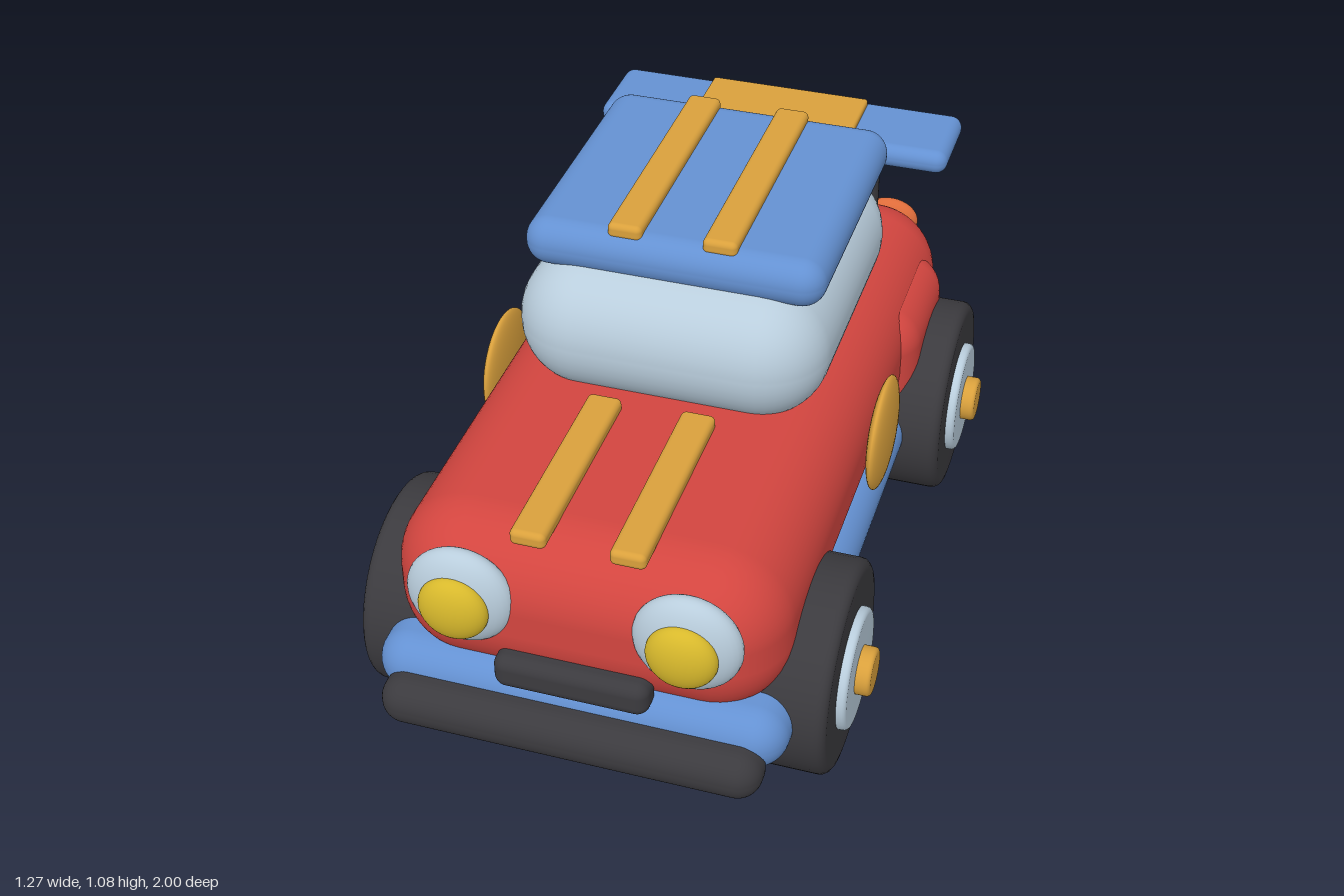
import * as THREE from 'three';
import { RoundedBoxGeometry } from 'three/addons/geometries/RoundedBoxGeometry.js';

const paint = (name, color) => {
  const m = new THREE.MeshStandardMaterial({ color });
  m.name = name;
  return m;
};

export function createModel() {
  const red = paint('red paint', 0xd2453f);
  const blue = paint('blue paint', 0x6491d2);
  const glass = paint('pale blue glass', 0xb9cddc);
  const gold = paint('gold trim', 0xd9a03c);
  const yellow = paint('lamp yellow', 0xd8b92c);
  const dark = paint('dark rubber', 0x3b3a3e);
  const steel = paint('grey steel', 0x74748a);
  const orange = paint('tail orange', 0xde6c3a);

  const car = new THREE.Group();
  car.name = 'toyCar';

  const add = (name, geometry, material, parent = car) => {
    const mesh = new THREE.Mesh(geometry, material);
    mesh.name = name;
    parent.add(mesh);
    return mesh;
  };
  // Rounded box given by its limits on each axis
  const box = (name, material, [x0, x1], [y0, y1], [z0, z1], radius) => {
    const g = new RoundedBoxGeometry(x1 - x0, y1 - y0, z1 - z0, 6, radius);
    g.translate((x0 + x1) / 2, (y0 + y1) / 2, (z0 + z1) / 2);
    return add(name, g, material);
  };
  const ellipsoid = (name, material, [x, y, z], [rx, ry, rz]) => {
    const mesh = add(name, new THREE.SphereGeometry(1, 36, 24), material);
    mesh.position.set(x, y, z);
    mesh.scale.set(rx, ry, rz);
    return mesh;
  };

  // Body shell, chassis and cabin
  box('chassis', blue, [-0.485, 0.485], [0.198, 0.357], [-0.875, 0.93], 0.078);
  box('body', red, [-0.46, 0.46], [0.28, 0.69], [-0.855, 0.905], 0.175);
  box('cabinGlass', glass, [-0.378, 0.378], [0.64, 0.98], [-0.53, 0.31], 0.165);
  box('roof', blue, [-0.363, 0.363], [0.945, 1.067], [-0.503, 0.203], 0.058);

  // Bumpers and grille
  box('frontBumper', dark, [-0.45, 0.45], [0.175, 0.297], [0.87, 1.0], 0.058);
  box('rearBumper', dark, [-0.445, 0.445], [0.19, 0.313], [-0.967, -0.84], 0.058);
  box('grille', dark, [-0.182, 0.182], [0.322, 0.41], [0.86, 0.942], 0.03);

  // Rear wing
  box('spoiler', blue, [-0.473, 0.473], [0.833, 0.897], [-0.914, -0.676], 0.03);
  box('spoilerPlate', gold, [-0.215, 0.215], [0.88, 0.914], [-0.89, -0.712], 0.008);

  for (const s of [-1, 1]) {
    const side = s > 0 ? 'left' : 'right';
    const span = (a, b) => (s > 0 ? [a, b] : [-b, -a]);

    // Stripes on hood and roof
    box(side + 'HoodStripe', gold, span(0.073, 0.156), [0.677, 0.717], [0.325, 0.855], 0.014);
    box(side + 'RoofStripe', gold, span(0.073, 0.156), [1.05, 1.089], [-0.475, 0.177], 0.014);

    // Fenders
    box(side + 'RearFender', red, span(0.25, 0.495), [0.3, 0.612], [-0.71, -0.283], 0.1);
    box(side + 'FrontFender', red, span(0.25, 0.466), [0.3, 0.535], [0.38, 0.77], 0.09);

    // Lamps and door roundel
    ellipsoid(side + 'HeadlightRim', glass, [s * 0.262, 0.538, 0.89], [0.126, 0.126, 0.055]);
    ellipsoid(side + 'HeadlightLens', yellow, [s * 0.262, 0.535, 0.935], [0.082, 0.082, 0.042]);
    ellipsoid(side + 'TailLight', orange, [s * 0.295, 0.556, -0.887], [0.078, 0.06, 0.033]);
    ellipsoid(side + 'DoorRoundel', gold, [s * 0.49, 0.522, 0.027], [0.026, 0.143, 0.143]);

    // Wing post and exhaust
    const post = add(side + 'SpoilerPost', new THREE.CylinderGeometry(0.034, 0.034, 0.2, 20), dark);
    post.position.set(s * 0.25, 0.75, -0.763);
    const pipe = add(side + 'Exhaust', new THREE.CylinderGeometry(0.05, 0.05, 0.14, 24), steel);
    pipe.rotation.x = Math.PI / 2;
    pipe.position.set(s * 0.172, 0.24, -0.93);
  }

  // Wheels: bevelled discs turned about a local y axis
  const disc = (radius, y0, y1, bevel) => {
    const pts = [[0, y0], [radius - bevel, y0]];
    for (let i = 1; i <= 4; i++) {
      const a = (i / 4) * Math.PI / 2;
      pts.push([radius - bevel + bevel * Math.sin(a), y0 + bevel - bevel * Math.cos(a)]);
    }
    for (let i = 0; i <= 4; i++) {
      const a = (i / 4) * Math.PI / 2;
      pts.push([radius - bevel + bevel * Math.cos(a), y1 - bevel + bevel * Math.sin(a)]);
    }
    pts.push([0, y1]);
    return new THREE.LatheGeometry(pts.map(p => new THREE.Vector2(...p)), 48);
  };
  for (const s of [-1, 1]) {
    for (const [end, z, outer] of [['front', 0.577, 0.557], ['rear', -0.524, 0.578]]) {
      const wheel = new THREE.Group();
      wheel.name = end + (s > 0 ? 'Left' : 'Right') + 'Wheel';
      add('tire', disc(0.254, -0.3, 0, 0.025), dark, wheel);
      add('wheelCap', disc(0.145, -0.03, 0.022, 0.012), glass, wheel);
      add('hub', disc(0.058, 0, 0.057, 0.01), gold, wheel);
      wheel.rotation.z = -s * Math.PI / 2;
      wheel.position.set(s * outer, 0.26, z);
      car.add(wheel);
    }
  }

  // Rest the tires on the ground
  car.children.forEach(part => { part.position.y -= 0.006; });
  return car;
}
